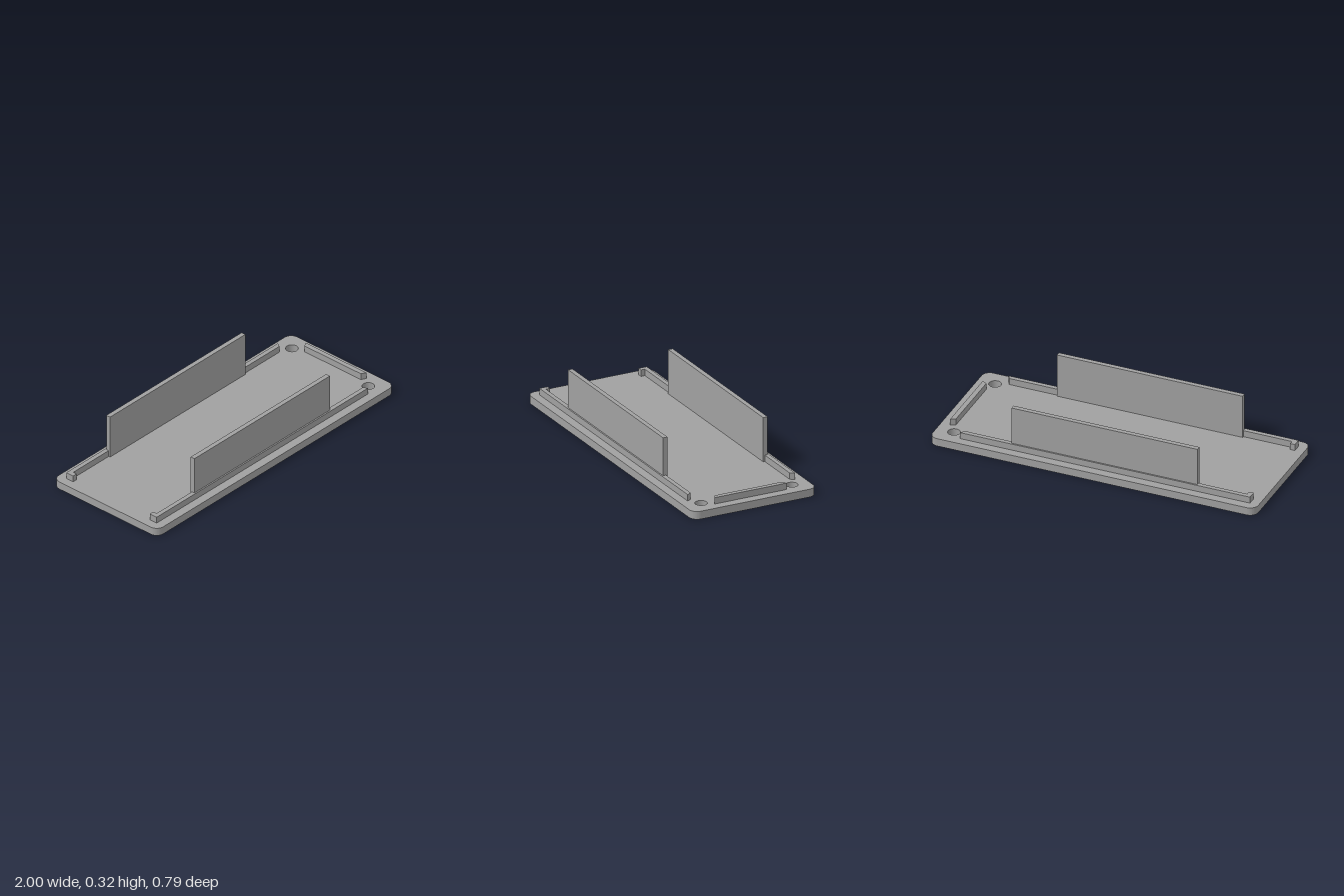
import * as THREE from 'three';
import { toCreasedNormals } from 'three/addons/utils/BufferGeometryUtils.js';

const PLATE_TOP = 0.048;
const RAIL_TOP = 0.087;
const WALL_TOP = 0.317;

// Raise a floor outline (x, z) from y0 to y1
function raise(shape, y0, y1) {
  const geo = new THREE.ExtrudeGeometry(shape, { depth: y1 - y0, bevelEnabled: false, curveSegments: 12 });
  geo.rotateX(-Math.PI / 2).translate(0, y0, 0);
  return toCreasedNormals(geo, 0.6);
}

// Outline from points; s mirrors it across the long axis (shape y becomes -z)
function outline(points, s = 1) {
  return new THREE.Shape(points.map(([x, z]) => new THREE.Vector2(x, -z * s)));
}

function plateShape(w, d, r) {
  const shape = new THREE.Shape();
  shape.moveTo(-w + r, -d);
  shape.absarc(w - r, -d + r, r, -Math.PI / 2, 0);
  shape.absarc(w - r, d - r, r, 0, Math.PI / 2);
  shape.absarc(-w + r, d - r, r, Math.PI / 2, Math.PI);
  shape.absarc(-w + r, -d + r, r, Math.PI, Math.PI * 1.5);
  // Screw holes
  for (const s of [1, -1]) {
    const hole = new THREE.Path();
    hole.absarc(0.893, 0.289 * s, 0.036, 0, Math.PI * 2, true);
    shape.holes.push(hole);
  }
  return shape;
}

export function createModel() {
  const model = new THREE.Group();
  model.name = 'coverPlate';
  const grey = new THREE.MeshStandardMaterial({ color: 0xa0a0a0 });
  grey.name = 'grey plastic';

  const add = (name, geo) => {
    const mesh = new THREE.Mesh(geo, grey);
    mesh.name = name;
    model.add(mesh);
    return mesh;
  };

  // Rounded base with two through holes
  add('basePlate', raise(plateShape(1, 0.395, 0.05), 0, PLATE_TOP));

  for (const [side, s] of [['front', 1], ['back', -1]]) {
    // Low rail: hooked at the right end, mitred at the left end
    add(side + 'Rail', raise(outline([
      [-0.947, 0.342], [0.833, 0.342], [0.817, 0.315],
      [-0.918, 0.315], [-0.918, 0.29], [-0.947, 0.29],
    ], s), PLATE_TOP, RAIL_TOP));

    // Tall wall straddling the rail
    const height = WALL_TOP - PLATE_TOP;
    add(side + 'Wall', new THREE.BoxGeometry(1.14, height, 0.028))
      .position.set(-0.05, PLATE_TOP + height / 2, 0.319 * s);
  }

  // End rail with mitred ends
  add('endRail', raise(outline([
    [0.943, 0.23], [0.943, -0.23], [0.914, -0.214], [0.914, 0.214],
  ]), PLATE_TOP, RAIL_TOP));

  return model;
}
